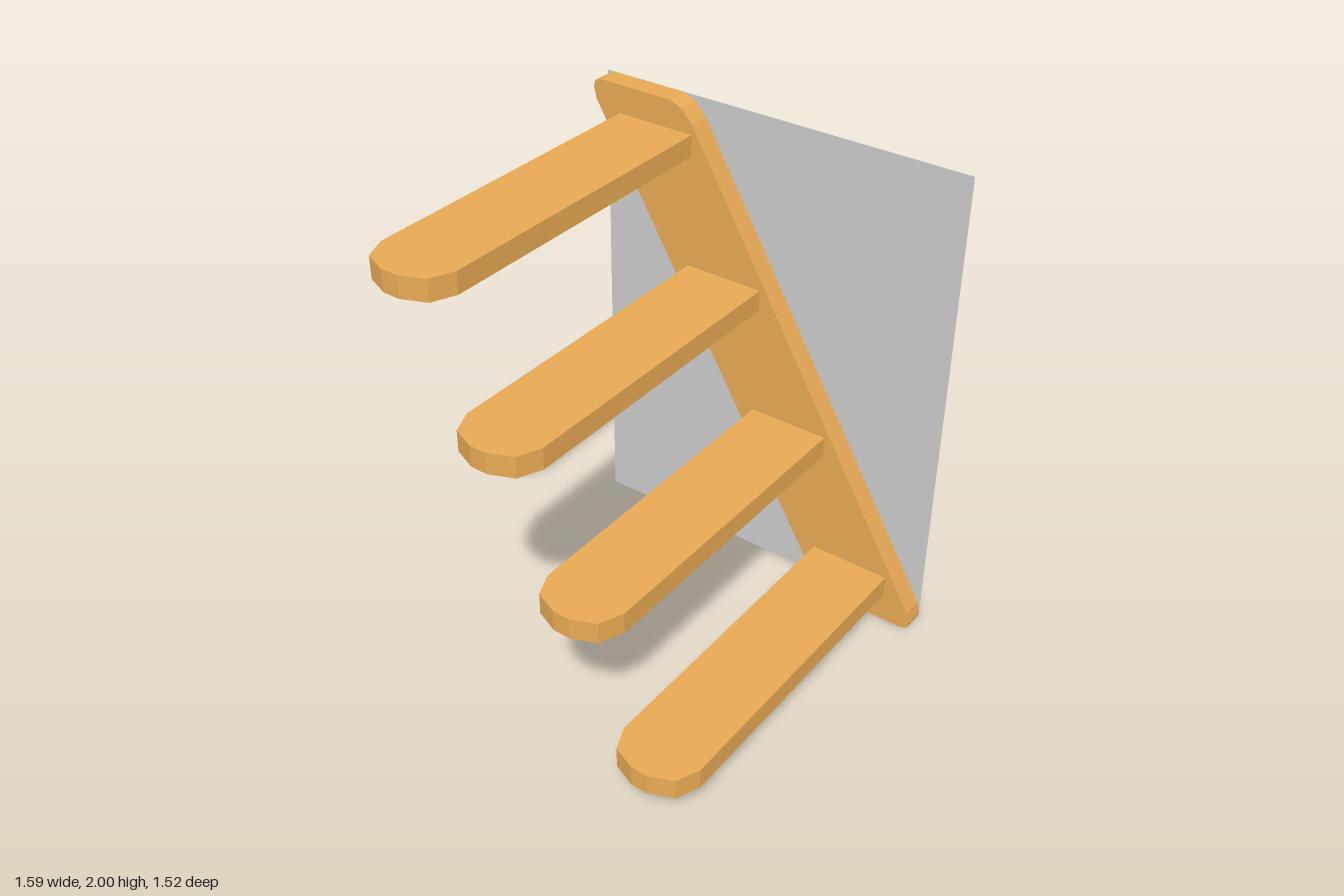
import * as THREE from 'three';

const wood = new THREE.MeshStandardMaterial({ color: 0xe8aa54, flatShading: true });
const grey = new THREE.MeshStandardMaterial({ color: 0xcccccc, side: THREE.DoubleSide });

function extrude(points, depth) {
  const shape = new THREE.Shape(points.map(([x, y]) => new THREE.Vector2(x, y)));
  return new THREE.ExtrudeGeometry(shape, { depth, bevelEnabled: false });
}

function addMesh(group, name, geometry, material, x, y, z) {
  const mesh = new THREE.Mesh(geometry, material);
  mesh.name = name;
  mesh.position.set(x, y, z);
  group.add(mesh);
}

export function createModel() {
  const group = new THREE.Group();
  group.name = 'wallShelf';

  // Flat wall panel behind everything
  addMesh(group, 'wallPanel', new THREE.PlaneGeometry(1.585, 2), grey, -0.005, 1, -0.762);

  // Slanted back plank: half the outline, repeated by a half turn about its centre
  const half = [
    [-0.325, 0.925], [-0.375, 0.978], [-0.43, 1],
    [-0.755, 1], [-0.785, 0.99], [-0.793, 0.965], [-0.78, 0.915],
  ];
  const outline = [...half, ...half.map(([x, y]) => [-x, -y])];
  addMesh(group, 'backPlank', extrude(outline, 0.09), wood, -0.003, 1, -0.76);

  // Four steps with faceted rounded fronts
  const side = [[0.17, -0.67], [0.17, 0.625], [0.13, 0.72], [0.035, 0.76]];
  const stepOutline = [...side, ...side.map(([x, z]) => [-x, z]).reverse()];
  const stepGeometry = extrude(stepOutline, 0.088).rotateX(Math.PI / 2);
  const steps = [[-0.5, 1.884], [-0.168, 1.327], [0.164, 0.773], [0.494, 0.217]];
  steps.forEach(([x, top], i) => addMesh(group, `step${i + 1}`, stepGeometry, wood, x, top, 0));

  return group;
}
